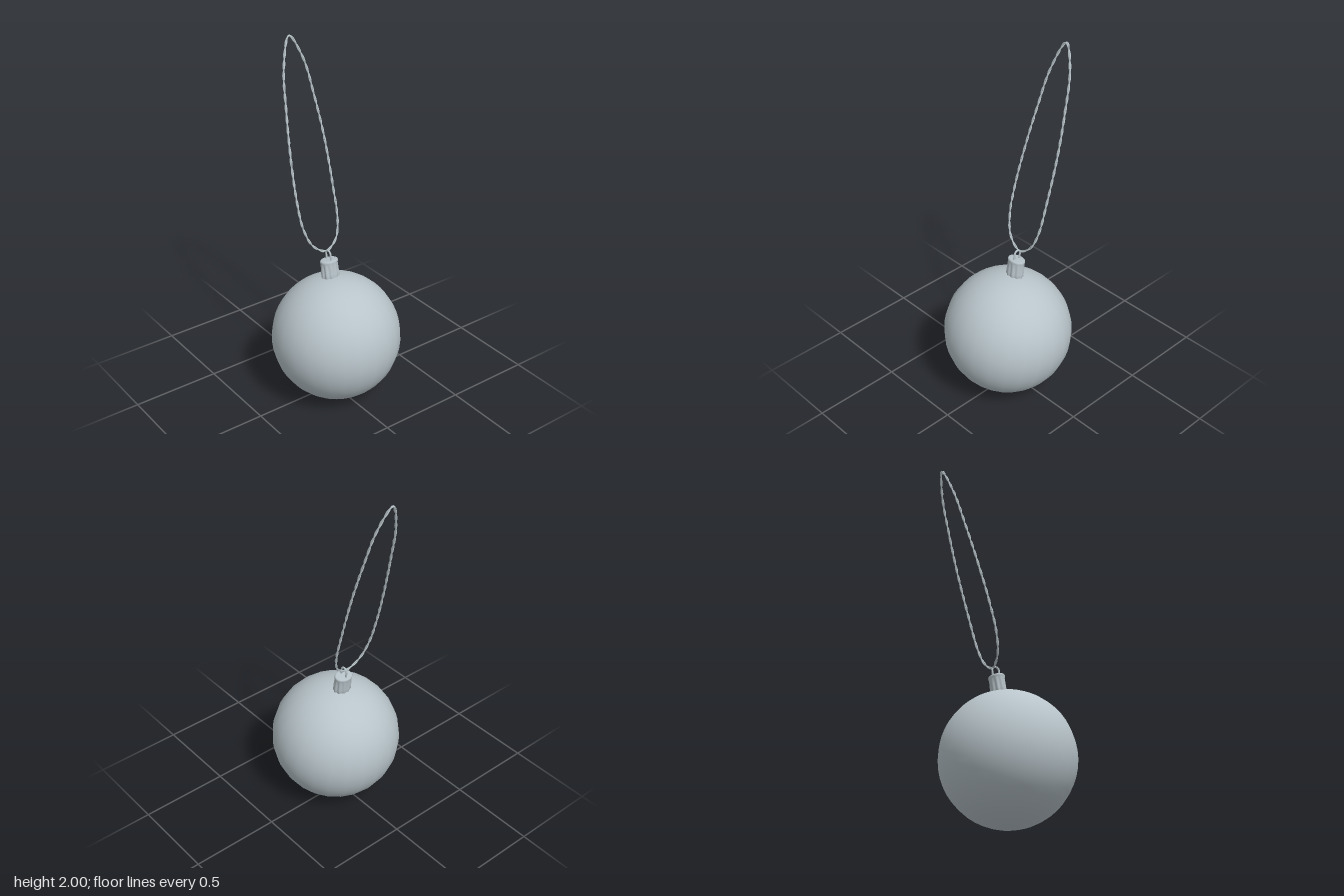
import * as THREE from 'three';

const glass = new THREE.MeshStandardMaterial({ color: 0xb8c4ca });
glass.name = 'paleGreyBlue';

function part(name, geometry, parent) {
  const mesh = new THREE.Mesh(geometry, glass);
  mesh.name = name;
  parent.add(mesh);
  return mesh;
}

// One strand winding around a closed centre line that lies in a plane
class TwistedStrand extends THREE.Curve {
  constructor(path, normal, offset, turns, phase) {
    super();
    Object.assign(this, { path, normal, offset, turns, phase });
  }
  getPoint(t, target = new THREE.Vector3()) {
    const u = t % 1;
    const angle = u * this.turns * Math.PI * 2 + this.phase;
    const side = this.path.getTangentAt(u).cross(this.normal).normalize();
    return target.copy(this.path.getPointAt(u))
      .addScaledVector(this.normal, Math.cos(angle) * this.offset)
      .addScaledVector(side, Math.sin(angle) * this.offset);
  }
}

// Crimped metal cap: a lathe whose skirt is rippled into flutes
function capGeometry() {
  const profile = [
    [0, 0.459], [0.046, 0.459], [0.0505, 0.457], [0.0525, 0.452],
    [0.052, 0.444], [0.0495, 0.438], [0.0495, 0.41], [0.05, 0.38], [0.051, 0.352], [0.04, 0.345],
  ].reverse().map(([r, y]) => new THREE.Vector2(r, y));
  const geometry = new THREE.LatheGeometry(profile, 80);
  const pos = geometry.attributes.position;
  for (let i = 0; i < pos.count; i++) {
    const x = pos.getX(i), y = pos.getY(i), z = pos.getZ(i);
    const depth = THREE.MathUtils.clamp((0.444 - y) / 0.03, 0, 1);
    const ripple = 1 + 0.06 * depth * Math.cos(Math.atan2(z, x) * 10);
    pos.setXYZ(i, x * ripple, y, z * ripple * 0.8);
  }
  geometry.computeVertexNormals();
  return geometry;
}

export function createModel() {
  const model = new THREE.Group();
  model.name = 'hangingBauble';

  // Ball, cap and wire loop share one slightly backward-leaning axis
  const bauble = new THREE.Group();
  bauble.name = 'bauble';
  bauble.position.set(0, 0.363, 0.03);
  bauble.rotation.x = -0.148;
  model.add(bauble);
  part('ball', new THREE.SphereGeometry(0.362, 24, 24), bauble);
  part('cap', capGeometry(), bauble);

  // Wire hanger: two legs joined by an arch
  const wire = [new THREE.Vector3(0, 0.45, 0.019)];
  for (let i = 0; i <= 8; i++) {
    const a = (i / 8) * Math.PI;
    wire.push(new THREE.Vector3(0, 0.49 + 0.02 * Math.sin(a), 0.02 * Math.cos(a)));
  }
  wire.push(new THREE.Vector3(0, 0.45, -0.019));
  part('wireLoop', new THREE.TubeGeometry(new THREE.CatmullRomCurve3(wire), 32, 0.0055, 8), bauble);

  // Hanging cord: two strands twisted around a leaning closed loop
  const cord = new THREE.Group();
  cord.name = 'cord';
  model.add(cord);
  const outline = [
    [0, 0.861], [0.072, 0.908], [0.104, 1.0], [0.112, 1.18], [0.11, 1.45], [0.093, 1.66],
    [0.063, 1.87], [0, 1.993], [-0.066, 1.84], [-0.097, 1.63], [-0.121, 1.4], [-0.132, 1.18],
    [-0.122, 1.01], [-0.08, 0.908],
  ];
  const slope = -0.288;
  const path = new THREE.CatmullRomCurve3(
    outline.map(([x, y]) => new THREE.Vector3(x, y, -0.058 + slope * (y - 0.861))), true);
  path.arcLengthDivisions = 800;
  const normal = new THREE.Vector3(0, -slope, 1).normalize();
  for (let i = 0; i < 2; i++) {
    const strand = new TwistedStrand(path, normal, 0.0037, 22, i * Math.PI);
    part('cordStrand' + (i + 1), new THREE.TubeGeometry(strand, 440, 0.0038, 6, true), cord);
  }
  return model;
}
